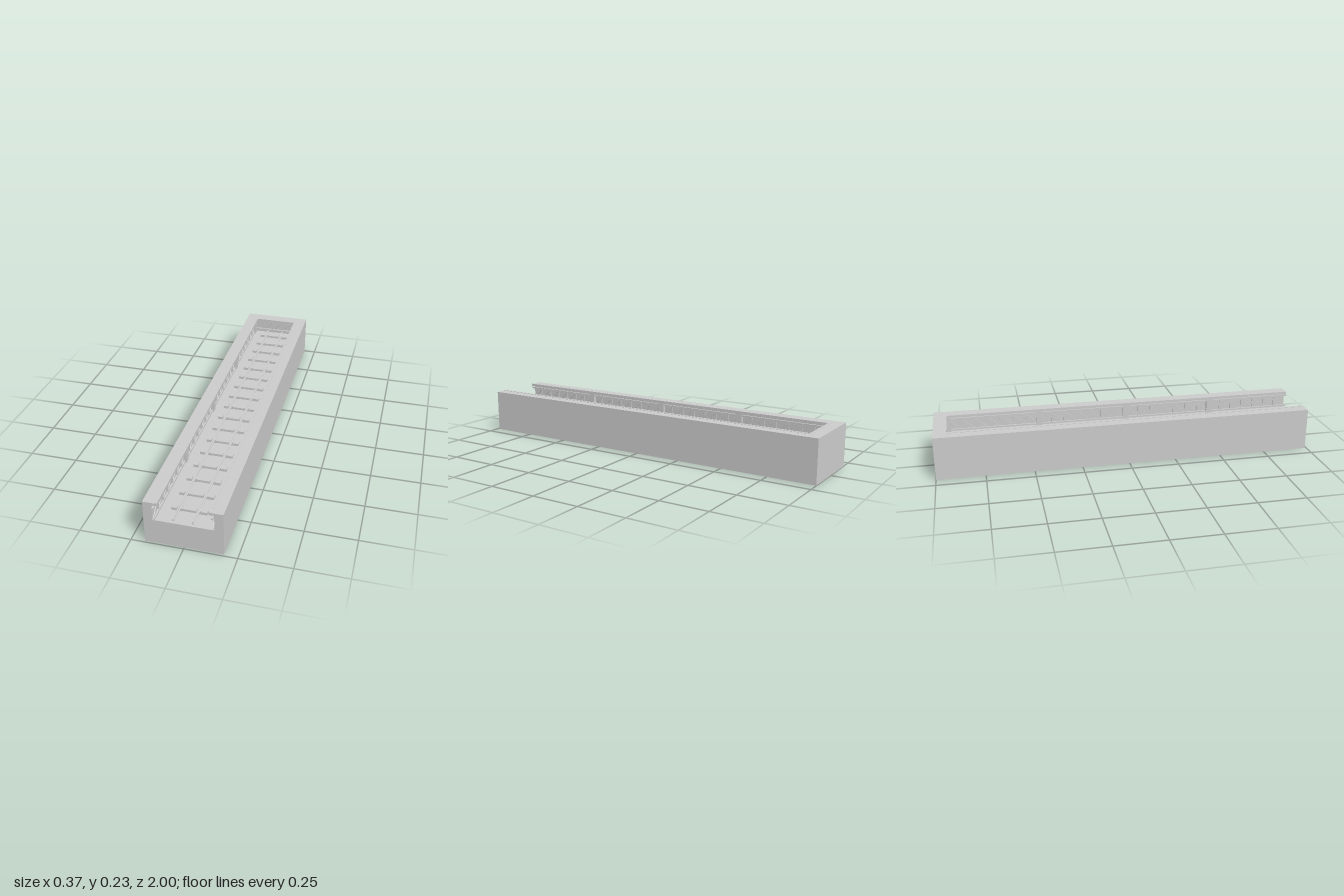
import * as THREE from 'three';

const mat = new THREE.MeshStandardMaterial({ color: 0xcccccc, flatShading: true });

// Box given by its min and max on each axis
function box(parent, name, x0, x1, y0, y1, z0, z1) {
  const m = new THREE.Mesh(new THREE.BoxGeometry(x1 - x0, y1 - y0, z1 - z0), mat);
  m.position.set((x0 + x1) / 2, (y0 + y1) / 2, (z0 + z1) / 2);
  m.name = name;
  parent.add(m);
  return m;
}

// Outline in x/y extruded from z0 to z1
function prism(parent, name, pts, z0, z1) {
  const shape = new THREE.Shape(pts.map(p => new THREE.Vector2(p[0], p[1])));
  const g = new THREE.ExtrudeGeometry(shape, { depth: z1 - z0, bevelEnabled: false });
  g.translate(0, 0, z0);
  const m = new THREE.Mesh(g, mat);
  m.name = name;
  parent.add(m);
  return m;
}

// Thin square bar between two points
function strut(parent, name, a, b, t) {
  const d = b.clone().sub(a);
  const m = new THREE.Mesh(new THREE.BoxGeometry(t, t, d.length()), mat);
  m.position.copy(a).add(b).multiplyScalar(0.5);
  m.quaternion.setFromUnitVectors(new THREE.Vector3(0, 0, 1), d.normalize());
  m.name = name;
  parent.add(m);
}

export function createModel() {
  const root = new THREE.Group();
  root.name = 'sunkenTrack';
  const FRONT = 0.99, BACK = -0.957, TOP = 0.225, FLOOR = 0.13;

  // Block with a trench that widens below a narrow lip, open at the front
  prism(root, 'trenchBlock', [
    [-0.185, 0], [0.185, 0], [0.185, TOP], [0.131, TOP], [0.131, 0.212], [0.143, 0.212],
    [0.143, FLOOR], [-0.143, FLOOR], [-0.143, 0.212], [-0.131, 0.212], [-0.131, TOP], [-0.185, TOP],
  ], BACK, FRONT);
  box(root, 'backWall', -0.185, 0.185, 0, TOP, -1, BACK);
  box(root, 'backLip', -0.131, 0.131, 0.212, TOP, BACK, -0.944);

  // Side trusses
  const posts = [0.53, 0.045, -0.44, -0.93];
  for (const s of [-1, 1]) {
    const truss = new THREE.Group();
    truss.name = s > 0 ? 'leftTruss' : 'rightTruss';
    root.add(truss);
    const bar = (name, a, b, y0, y1, z0, z1) =>
      box(truss, name, Math.min(s * a, s * b), Math.max(s * a, s * b), y0, y1, z0, z1);
    bar('edgeRail', 0.117, 0.131, 0.212, 0.2265, -0.944, FRONT);
    bar('topChord', 0.131, 0.14, 0.195, 0.204, BACK, 1);
    bar('bottomChord', 0.131, 0.14, 0.132, 0.141, BACK, 1);
    for (const z of posts) bar('post', 0.126, 0.143, FLOOR, 0.212, z - 0.016, z + 0.016);
    // Bays of uprights and diagonals
    const ends = [FRONT, ...posts];
    for (let i = 0; i < ends.length - 1; i++) {
      const n = 7, step = (ends[i + 1] - ends[i]) / n;
      for (let k = 0; k < n; k++) {
        const z = ends[i] + k * step;
        const p = (y, zz) => new THREE.Vector3(s * 0.137, y, zz);
        if (k) strut(truss, 'upright', p(0.14, z), p(0.197, z), 0.005);
        strut(truss, 'diagonal', p(0.14, z), p(0.197, z + step), 0.005);
      }
    }
  }

  // Truss across the closed end
  const end = new THREE.Group();
  end.name = 'endTruss';
  root.add(end);
  box(end, 'edgeRail', -0.131, 0.131, 0.212, 0.2265, -0.944, -0.931);
  box(end, 'topChord', -0.127, 0.127, 0.2, 0.209, -0.954, -0.943);
  box(end, 'bottomChord', -0.127, 0.127, 0.146, 0.155, -0.954, -0.943);
  const e = (x, y) => new THREE.Vector3(x, y, -0.949);
  for (let i = 0; i < 4; i++) {
    const x = -0.077 + i * 0.0565;
    strut(end, 'upright', e(x, 0.153), e(x, 0.202), 0.004);
    if (i < 3) strut(end, 'diagonal', e(x, 0.155), e(x + 0.0565, 0.202), 0.004);
  }

  // Sleepers: two blocks joined by a bar, each with a tapered rail plate
  const track = new THREE.Group();
  track.name = 'track';
  root.add(track);
  for (let i = 0; i < 17; i++) {
    const z = -0.885 + i * 0.111;
    box(track, 'sleeperBar', -0.035, 0.035, FLOOR, 0.142, z - 0.008, z + 0.008);
    for (const s of [-1, 1]) {
      const c = s * 0.0575;
      box(track, 'sleeperBlock', c - 0.0265, c + 0.0265, FLOOR, 0.144, z - 0.011, z + 0.011);
      const x = s * 0.045;
      prism(track, 'railPlate', [
        [x - 0.013, 0.144], [x + 0.013, 0.144], [x + 0.011, 0.147], [x - 0.011, 0.147],
      ], z - 0.009, z + 0.009);
    }
  }

  // Rails with foot, web and head
  for (const s of [-1, 1]) {
    const half = [[0.006, 0.144], [0.006, 0.147], [0.0015, 0.148], [0.0015, 0.152], [0.0035, 0.153], [0.0035, 0.156]];
    const pts = [...half, ...half.map(([x, y]) => [-x, y]).reverse()];
    prism(track, 'rail', pts.map(([x, y]) => [x + s * 0.045, y]), -0.93, FRONT);
  }
  return root;
}
